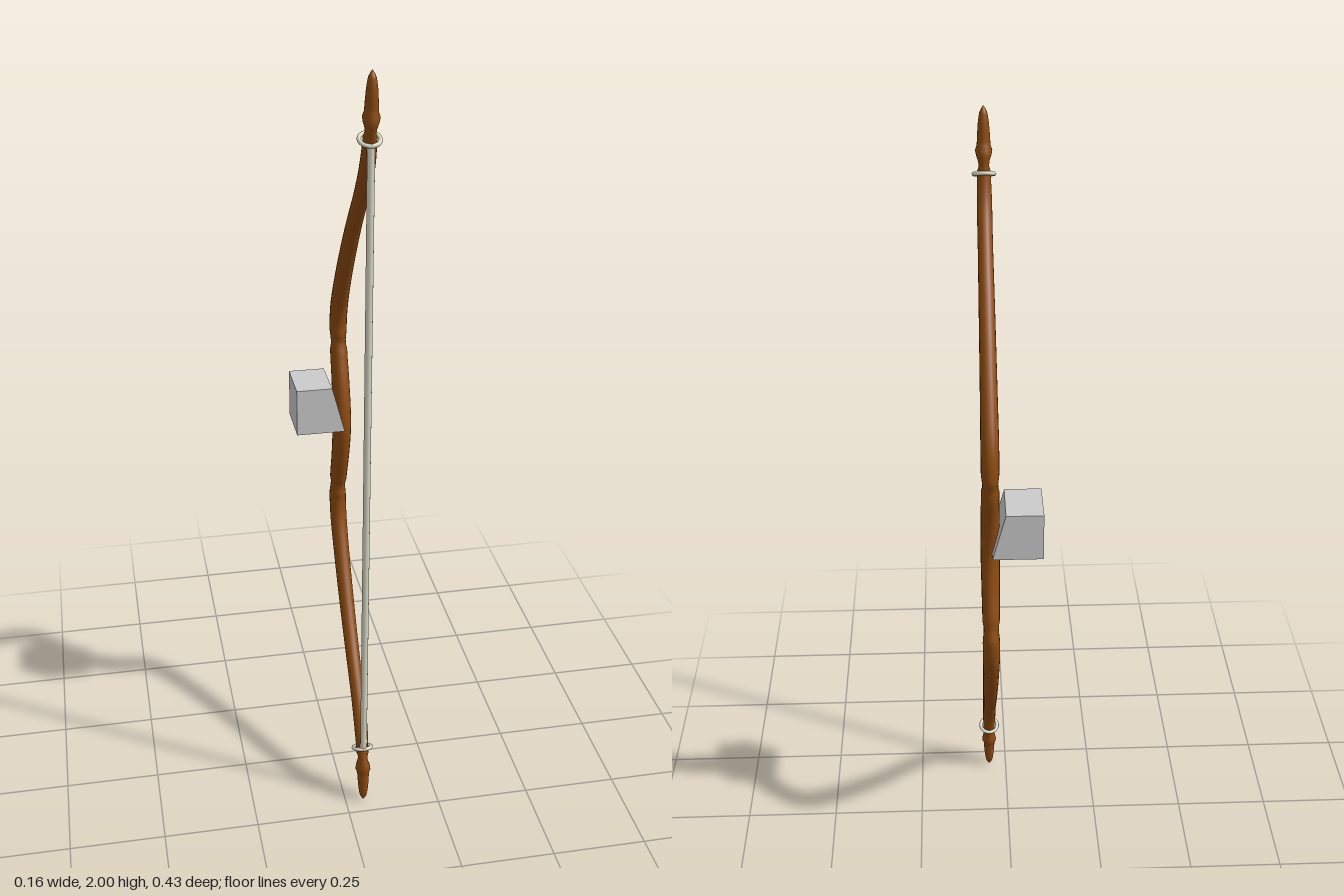
import * as THREE from 'three';

const X = 0.049, MID = 1.0;
const wood = new THREE.MeshStandardMaterial({ color: 0x8b4a10 });
const cord = new THREE.MeshStandardMaterial({ color: 0xd8d8c4 });
const grey = new THREE.MeshStandardMaterial({ color: 0xcccccc, flatShading: true });

// Upper limb: height above the grip, z, half width in x, half depth
const limb = [
  [0, -0.128, 0.024, 0.034], [0.1, -0.146, 0.023, 0.032], [0.19, -0.176, 0.022, 0.03],
  [0.25, -0.184, 0.022, 0.03], [0.31, -0.172, 0.022, 0.029], [0.4, -0.124, 0.021, 0.026],
  [0.5, -0.057, 0.02, 0.024], [0.6, 0.019, 0.019, 0.021], [0.7, 0.103, 0.018, 0.02],
  [0.78, 0.159, 0.018, 0.019], [0.85, 0.185, 0.016, 0.019], [0.91, 0.195, 0.016, 0.019],
  [0.96, 0.199, 0.013, 0.016], [0.985, 0.2, 0.009, 0.011], [1, 0.2, 0.001, 0.001],
];

// Sweep an ellipse along a curve in the yz plane
function sweep(rows, steps, sides) {
  const path = new THREE.CatmullRomCurve3(rows.map(r => new THREE.Vector3(X, MID + r[0], r[1])));
  const sizes = new THREE.CatmullRomCurve3(rows.map(r => new THREE.Vector3(r[2], r[3], 0)));
  const pos = [], index = [];
  for (let i = 0; i <= steps; i++) {
    const p = path.getPoint(i / steps), t = path.getTangent(i / steps), s = sizes.getPoint(i / steps);
    for (let j = 0; j < sides; j++) {
      const a = (j / sides) * Math.PI * 2, d = Math.sin(a) * s.y;
      pos.push(p.x + Math.cos(a) * s.x, p.y + t.z * d, p.z - t.y * d);
      if (i < steps) {
        const k = i * sides + j, n = i * sides + (j + 1) % sides;
        index.push(k, n, k + sides, n, n + sides, k + sides);
      }
    }
  }
  const g = new THREE.BufferGeometry();
  g.setAttribute('position', new THREE.Float32BufferAttribute(pos, 3));
  g.setIndex(index);
  g.computeVertexNormals();
  return g;
}

export function createModel() {
  const group = new THREE.Group();
  const add = (name, geometry, material) => {
    const mesh = new THREE.Mesh(geometry, material);
    mesh.name = name;
    group.add(mesh);
    return mesh;
  };

  // Recurved stave, mirrored about the grip
  const lower = limb.slice(1).reverse().map(([y, ...r]) => [-y, ...r]);
  add('stave', sweep([...lower, ...limb], 140, 20), wood);

  // Bowstring
  add('bowstring', new THREE.CylinderGeometry(0.009, 0.009, 1.67, 12), cord)
    .position.set(X, MID + 0.005, 0.197);

  // Cord loops square to the limbs
  for (const s of [1, -1]) {
    const loop = add(s > 0 ? 'upperLoop' : 'lowerLoop', new THREE.TorusGeometry(0.024, 0.005, 10, 28), cord);
    loop.position.set(X, MID + 0.005 + s * 0.84, 0.181);
    loop.rotation.x = Math.PI / 2 + s * 0.4;
  }

  // Block beside the grip, its inner side sloping
  const profile = new THREE.Shape([[-0.08, 1.005], [0.045, 1.005], [0.012, 1.13], [-0.08, 1.13]]
    .map(p => new THREE.Vector2(...p)));
  add('sideBlock', new THREE.ExtrudeGeometry(profile, { depth: 0.126, bevelEnabled: false }), grey)
    .position.z = -0.191;
  return group;
}
